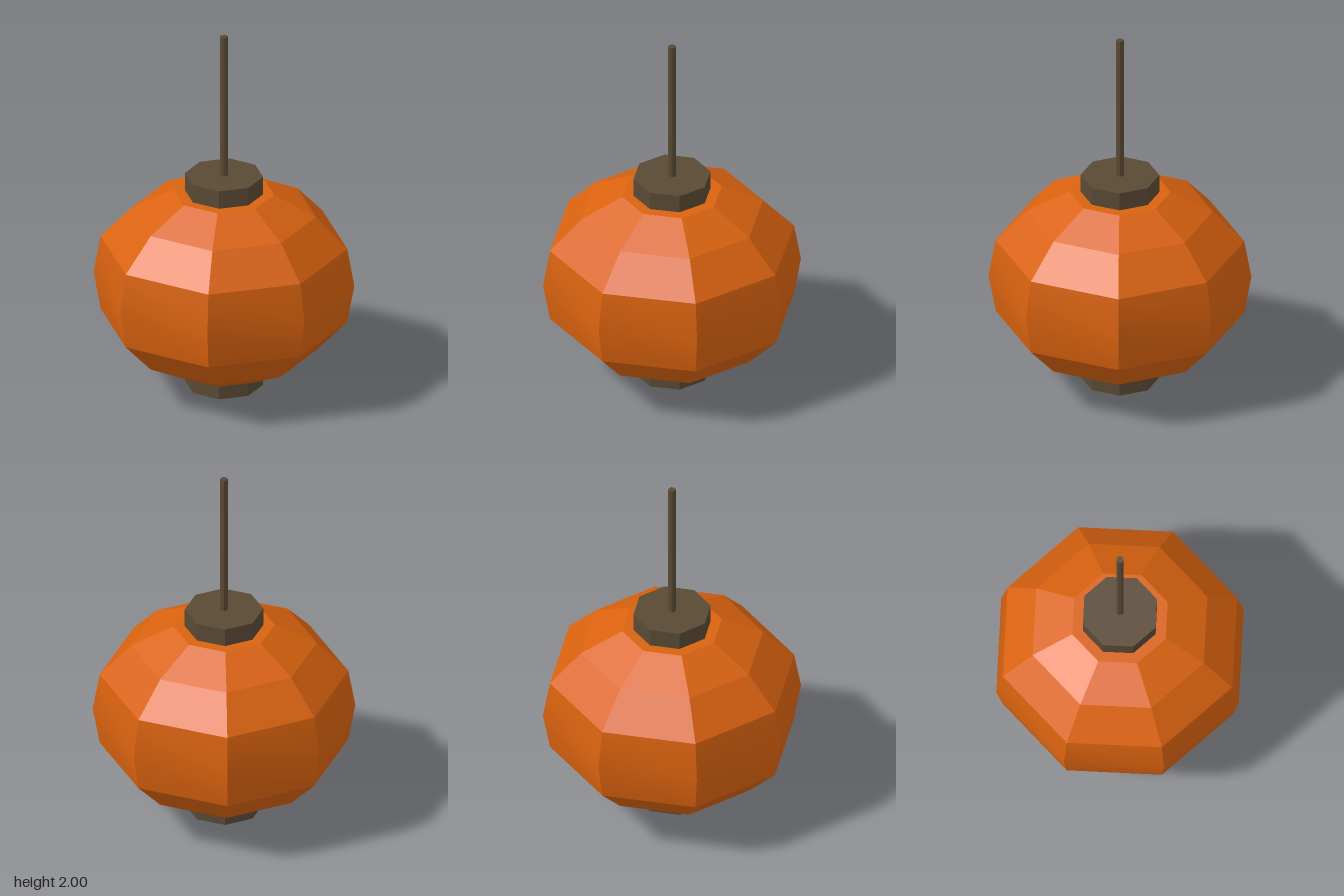
import * as THREE from 'three';
import { toCreasedNormals } from 'three/addons/utils/BufferGeometryUtils.js';

const SIDES = 8;

export function createModel() {
  const group = new THREE.Group();
  const paper = new THREE.MeshStandardMaterial({ color: 0xd9620f });
  const wood = new THREE.MeshStandardMaterial({ color: 0x5a4a35 });

  const add = (name, geometry, material, y = 0) => {
    const mesh = new THREE.Mesh(geometry, material);
    mesh.name = name;
    mesh.position.y = y;
    group.add(mesh);
  };

  // Faceted paper shade: the belly is smooth across its waist, the shoulders are flat
  const band = (name, points, crease) => {
    const lathe = new THREE.LatheGeometry(points.map(([r, y]) => new THREE.Vector2(r, y)), SIDES);
    add(name, toCreasedNormals(lathe, crease), paper);
  };
  band('lowerShade', [[0, 0.1], [0.265, 0.1], [0.485, 0.215], [0.65, 0.39]], 0.01);
  band('middleShade', [[0.65, 0.39], [0.687, 0.6], [0.65, 0.81]], Math.PI / 6);
  band('upperShade', [[0.65, 0.81], [0.485, 0.985], [0.265, 1.1], [0, 1.1]], 0.01);

  // End collars
  for (const [name, y] of [['bottomCollar', 0.05], ['topCollar', 1.15]]) {
    const collar = new THREE.CylinderGeometry(0.206, 0.206, 0.1, SIDES);
    add(name, toCreasedNormals(collar, Math.PI / 6), wood, y);
  }

  // Hanging rod
  const rod = new THREE.CylinderGeometry(0.02, 0.02, 0.8, SIDES);
  add('hangingRod', toCreasedNormals(rod, Math.PI / 6), wood, 1.6);

  return group;
}
